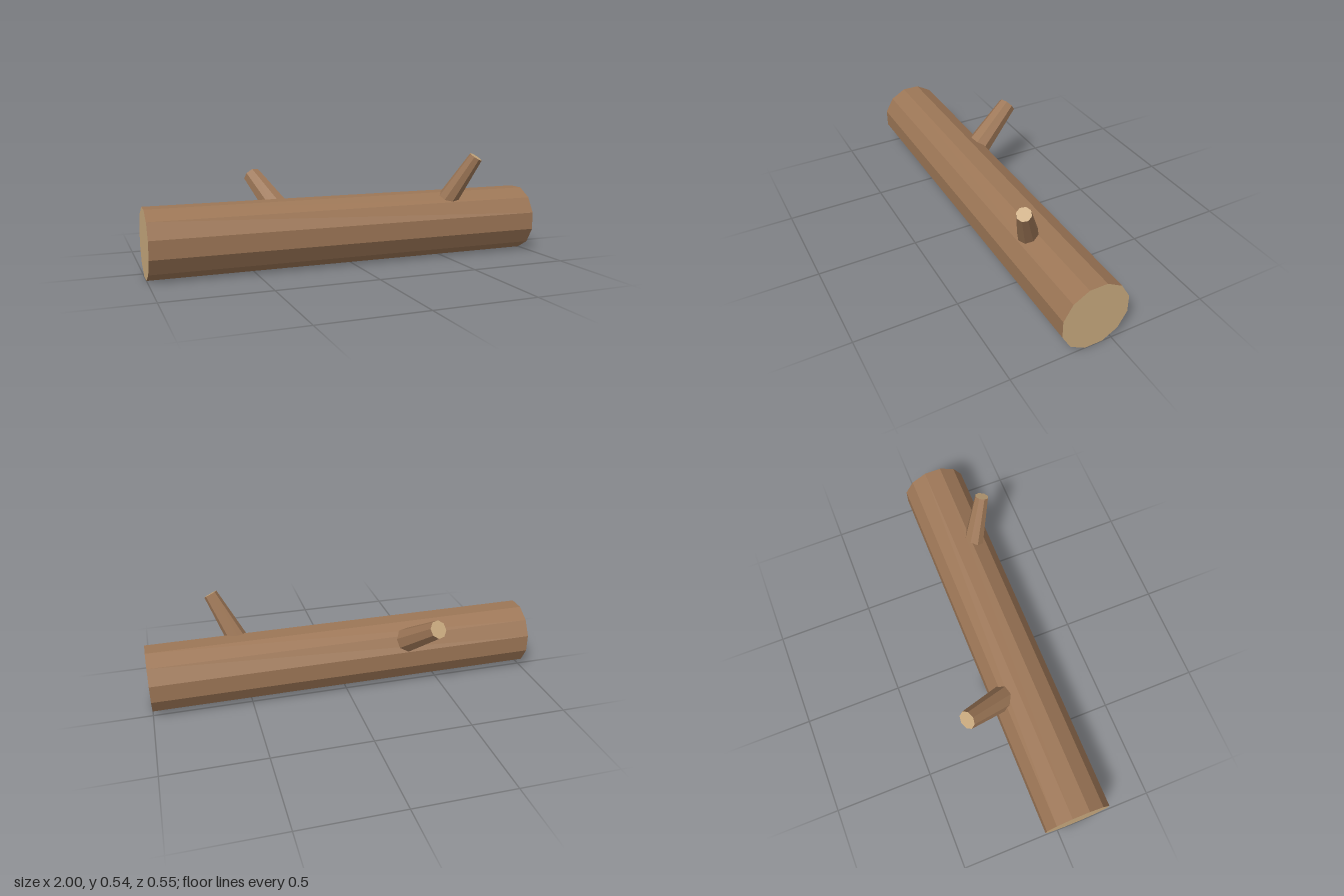
import * as THREE from 'three';

const bark = new THREE.MeshStandardMaterial({ color: 0x9c7656, flatShading: true });
bark.name = 'bark brown';
const cutWood = new THREE.MeshStandardMaterial({ color: 0xc8a97e, flatShading: true });
cutWood.name = 'cut wood tan';

// Tapered round timber from start to end: bark on the side, cut wood on both ends
function timber(name, start, end, startRadius, endRadius, sides, turn = 0) {
  const from = new THREE.Vector3(...start);
  const to = new THREE.Vector3(...end);
  const axis = to.clone().sub(from);
  const geometry = new THREE.CylinderGeometry(endRadius, startRadius, axis.length(), sides, 1, false, turn);
  const mesh = new THREE.Mesh(geometry, [bark, cutWood, cutWood]);
  mesh.name = name;
  mesh.position.copy(from).add(to).multiplyScalar(0.5);
  mesh.quaternion.setFromUnitVectors(new THREE.Vector3(0, 1, 0), axis.normalize());
  return mesh;
}

export function createModel() {
  const model = new THREE.Group();
  model.name = 'fallenLog';

  // Twelve-sided trunk lying along x, resting on a flat side
  model.add(timber('trunk', [-1, 0.164, 0.09], [1, 0.164, 0.09], 0.17, 0.17, 12, Math.PI / 12));

  // Two sawn-off branch stubs, rooted inside the trunk
  model.add(timber('frontBranch', [0.492, 0.2, 0.116], [0.647, 0.517, 0.243], 0.06, 0.035, 8));
  model.add(timber('backBranch', [-0.302, 0.215, 0.03], [-0.4, 0.413, -0.246], 0.069, 0.047, 8));

  return model;
}
